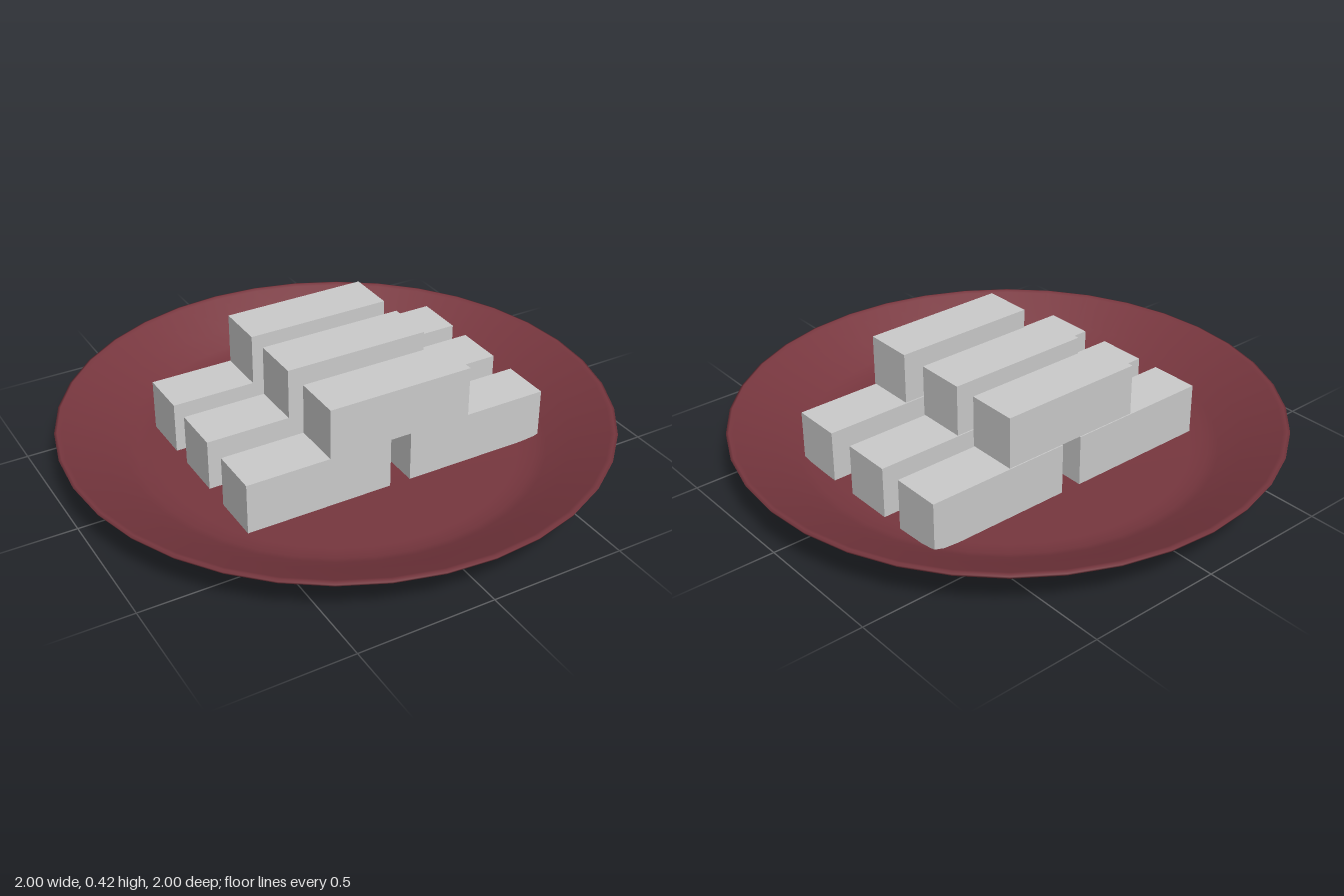
import * as THREE from 'three';

export function createModel() {
  const model = new THREE.Group();
  const plateMat = new THREE.MeshStandardMaterial({ color: 0x78373f });
  const grey = new THREE.MeshStandardMaterial({ color: 0xcccccc });

  // Shallow round plate: underside, rim, then the inner dish
  const profile = [
    [0, 0], [0.54, 0], [0.66, 0.007], [0.71, 0.015], [0.75, 0.03], [0.84, 0.075],
    [0.98, 0.145], [0.995, 0.157], [1, 0.167], [0.99, 0.17], [0.975, 0.165],
    [0.84, 0.1], [0.76, 0.062], [0.72, 0.047], [0.66, 0.041], [0, 0.04],
  ].map(([r, y]) => new THREE.Vector2(r, y));
  const plate = new THREE.Mesh(new THREE.LatheGeometry(profile, 36), plateMat);
  plate.name = 'plate';
  model.add(plate);

  // Three rows, each of two blocks side by side with one bridging them
  const blockGeo = new THREE.BoxGeometry(0.55, 0.19, 0.186);
  const addBlock = (parent, name, x, y, z) => {
    const block = new THREE.Mesh(blockGeo, grey);
    block.name = name;
    block.position.set(x, y, z);
    parent.add(block);
  };
  const rows = { frontRow: 0.268, middleRow: -0.025, backRow: -0.297 };
  for (const [name, z] of Object.entries(rows)) {
    const row = new THREE.Group();
    row.name = name;
    row.position.z = z;
    addBlock(row, 'lowerRightBlock', -0.265, 0.137, -0.002);
    addBlock(row, 'lowerLeftBlock', 0.365, 0.137, -0.002);
    addBlock(row, 'upperBlock', 0.047, 0.328, 0.001);
    model.add(row);
  }
  return model;
}
